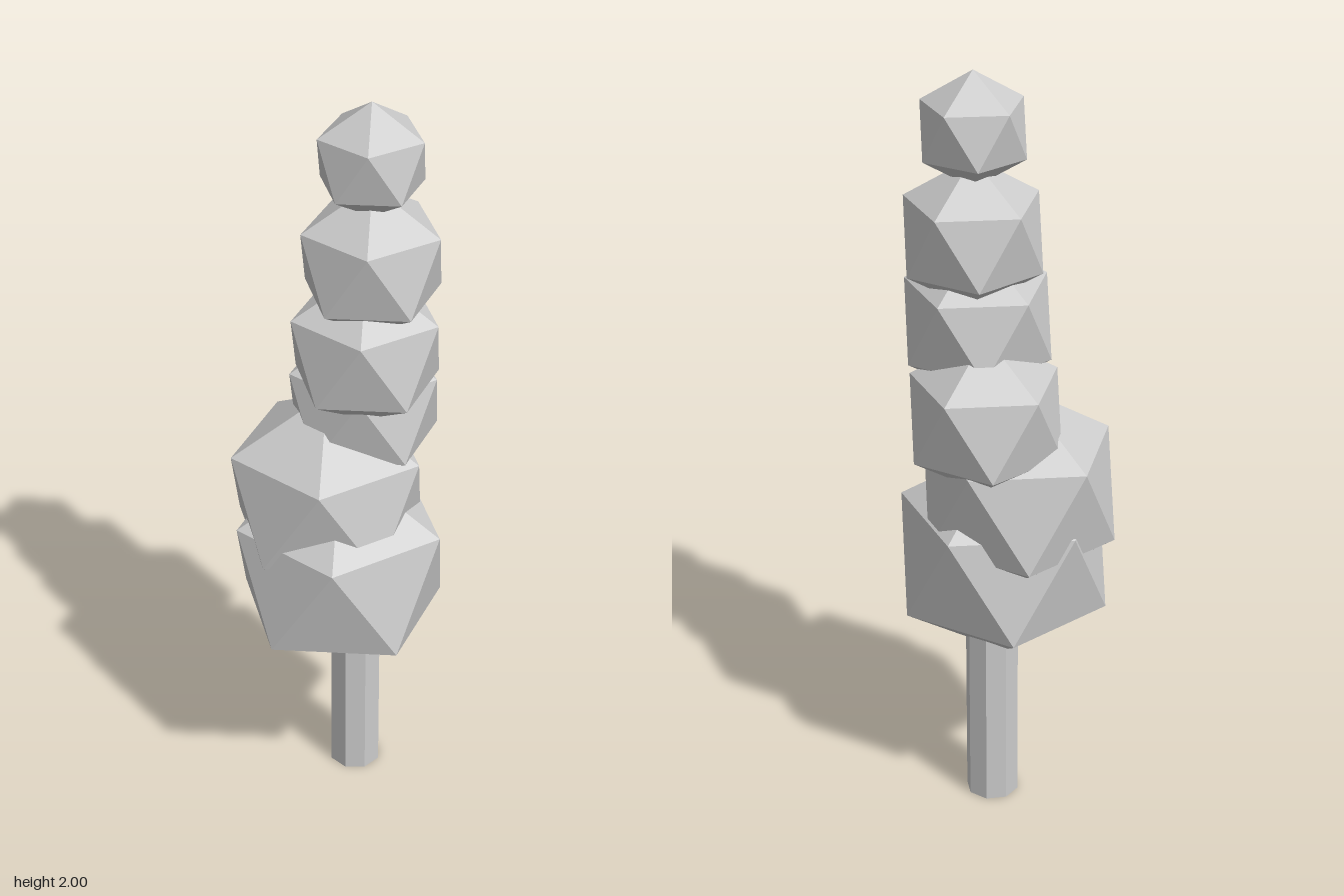
import * as THREE from 'three';

// Foliage clumps from bottom to top: centre x, y, z and radius
const CLUMPS = [
  [0.012, 0.698, 0.016, 0.306],
  [-0.035, 0.9, -0.009, 0.281],
  [0.032, 1.136, -0.095, 0.218],
  [0.075, 1.353, 0.006, 0.211],
  [0.081, 1.585, -0.014, 0.197],
  [0.08, 1.852, -0.01, 0.148],
];

export function createModel() {
  const tree = new THREE.Group();
  tree.name = 'tree';
  const material = new THREE.MeshStandardMaterial({ color: 0xcccccc, flatShading: true });

  // Eight-sided trunk running up into the lowest clump
  const trunkHeight = 0.8;
  const trunk = new THREE.Mesh(new THREE.CylinderGeometry(0.07, 0.07, trunkHeight, 8), material);
  trunk.name = 'trunk';
  trunk.position.set(0.029, trunkHeight / 2, -0.049);
  tree.add(trunk);

  // Icosahedron turned so one corner points straight up and its upper ring has a corner at +x
  const clumpGeometry = new THREE.IcosahedronGeometry(1, 0);
  clumpGeometry.rotateZ(-Math.atan(2 / (1 + Math.sqrt(5))));

  // Stacked foliage clumps
  CLUMPS.forEach(([x, y, z, radius], i) => {
    const clump = new THREE.Mesh(clumpGeometry, material);
    clump.name = `foliageClump${i + 1}`;
    clump.position.set(x, y, z);
    clump.scale.setScalar(radius);
    tree.add(clump);
  });

  return tree;
}
